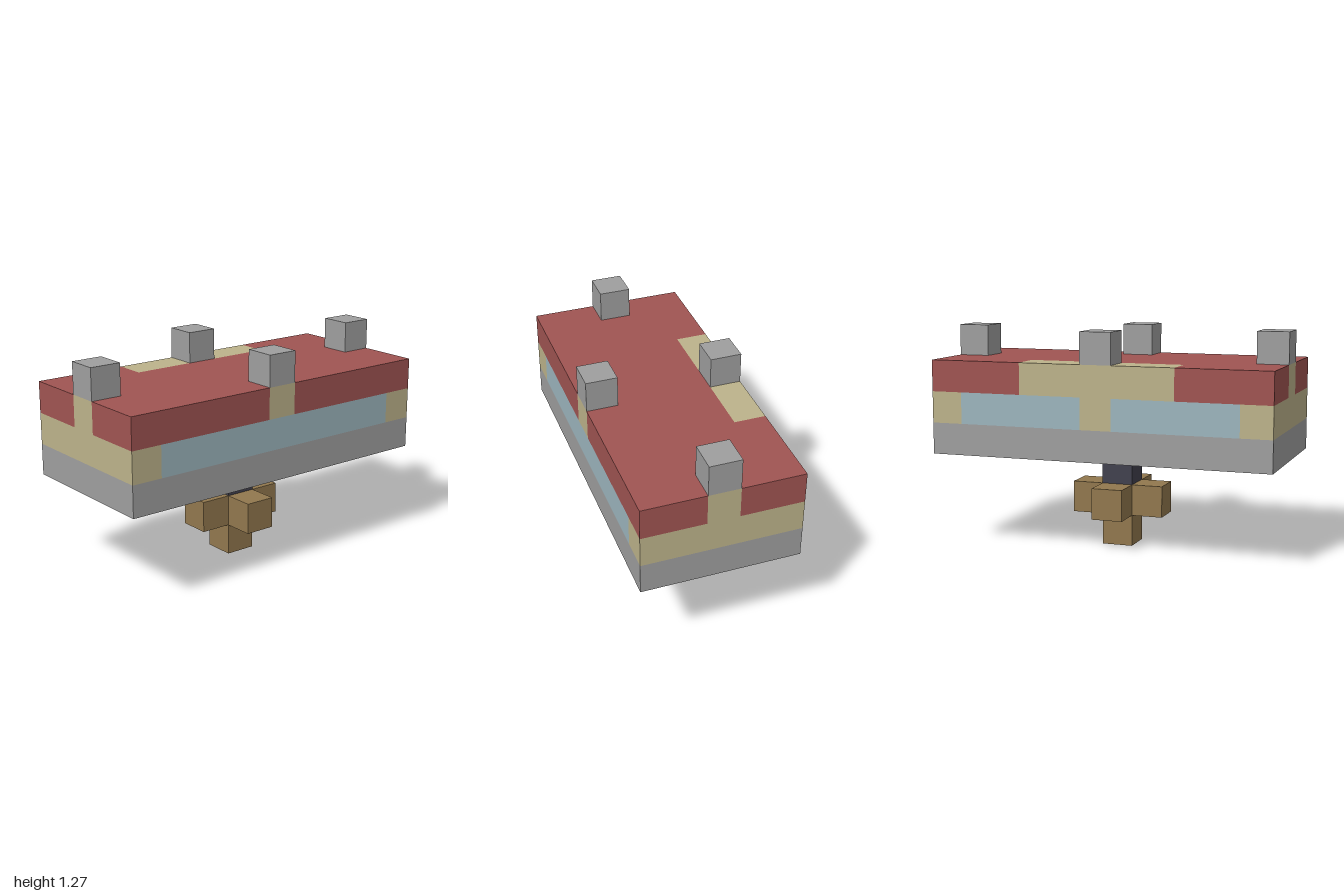
import * as THREE from 'three';

const U = 2 / 11; // one block

export function createModel() {
  const model = new THREE.Group();
  model.name = 'blockVessel';

  const mat = (name, color) => {
    const m = new THREE.MeshStandardMaterial({ color });
    m.name = name;
    return m;
  };
  const grey = mat('stone grey', 0x9f9f9f);
  const tan = mat('sand tan', 0xbdb38b);
  const red = mat('brick red', 0xa05452);
  const blue = mat('glass blue', 0x9db6be);
  const brown = mat('wood brown', 0x92784e);
  const navy = mat('dark navy', 0x42414e);

  // Box spanning block coordinates: x 0..5, y 0..7, z 0..11 (back to front)
  const add = (name, material, [x0, x1], [y0, y1], [z0, z1]) => {
    const geo = new THREE.BoxGeometry((x1 - x0) * U, (y1 - y0) * U, (z1 - z0) * U);
    const mesh = new THREE.Mesh(geo, material);
    mesh.name = name;
    mesh.position.set(((x0 + x1) / 2 - 2.5) * U, ((y0 + y1) / 2) * U, ((z0 + z1) / 2 - 5.5) * U);
    model.add(mesh);
  };

  // Hanging cross and stem
  add('crossFoot', brown, [2, 3], [0, 1], [5, 6]);
  add('crossBar', brown, [1, 4], [1, 2], [5, 6]);
  for (const z of [4, 6]) add('crossArm', brown, [2, 3], [1, 2], [z, z + 1]);
  add('stem', navy, [2, 3], [2, 3], [5, 6]);

  // Base layer
  add('base', grey, [0, 5], [3, 4], [0, 11]);

  // Window layer: glazed core between end walls, with a door post on the -x side
  for (const z of [0, 10]) add('endWall', tan, [0, 5], [4, 5], [z, z + 1]);
  add('glassCore', blue, [1, 5], [4, 5], [1, 10]);
  for (const z of [[1, 5], [6, 10]]) add('sideWindow', blue, [0, 1], [4, 5], z);
  add('sidePost', tan, [0, 1], [4, 5], [5, 6]);

  // Roof layer
  add('roofStrip', red, [1, 2], [5, 6], [0, 11]);
  add('roofStrip', red, [2, 3], [5, 6], [1, 10]);
  add('roofStrip', red, [3, 4], [5, 6], [0, 11]);
  for (const z of [[0, 3], [8, 11]]) add('roofCorner', red, [0, 1], [5, 6], z);
  for (const z of [[0, 5], [6, 11]]) add('roofEdge', red, [4, 5], [5, 6], z);
  add('roofLedge', tan, [0, 1], [5, 6], [3, 8]);

  // Tan blocks set in the roof under three of the turrets
  for (const [x, z] of [[2, 0], [2, 10], [4, 5]]) add('roofInset', tan, [x, x + 1], [5, 6], [z, z + 1]);

  // Turrets at the middle of each side
  for (const [x, z] of [[2, 0], [2, 10], [0, 5], [4, 5]]) add('turret', grey, [x, x + 1], [6, 7], [z, z + 1]);

  return model;
}
